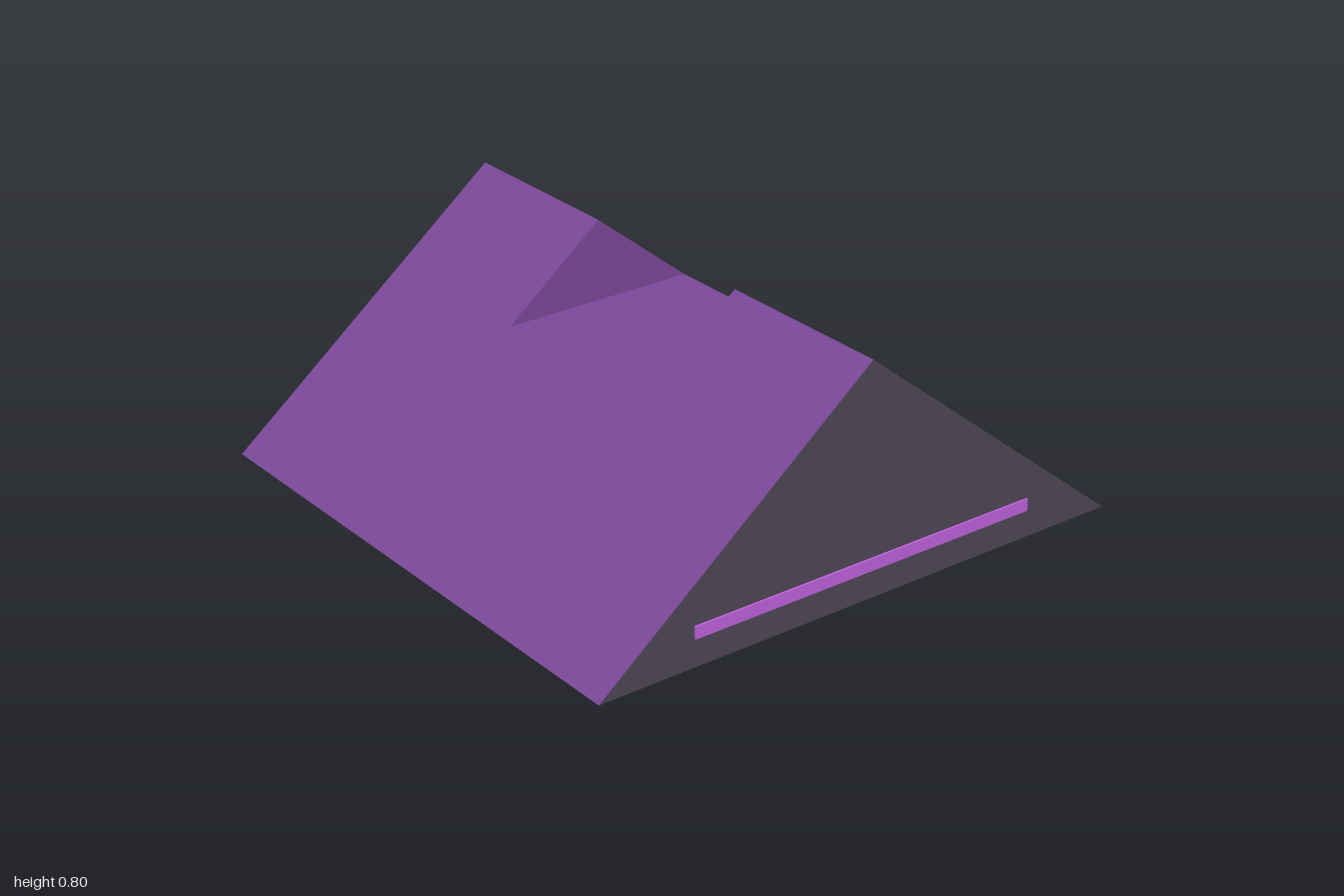
import * as THREE from 'three';

const HALF = 0.99;    // half width and half length of the wedge
const BASE = 0.008;   // underside height
const TOP = 0.8;      // ridge height
const NOTCH = 0.35;   // half size of the square notch
const NOTCH_Y = BASE + (TOP - BASE) * (1 - NOTCH / HALF);

const paint = (name, color) => {
  const m = new THREE.MeshStandardMaterial({ color });
  m.name = name;
  return m;
};

const polygon = (points) =>
  new THREE.ShapeGeometry(new THREE.Shape(points.map(([x, y]) => new THREE.Vector2(x, y))));

export function createModel() {
  const purple = paint('purple', 0x7a4798);
  const charcoal = paint('charcoal', 0x4b4654);
  const violet = paint('bright violet', 0xbc60d9);

  const model = new THREE.Group();
  model.name = 'notchedWedge';
  const add = (name, geometry, material, parent = model) => {
    const mesh = new THREE.Mesh(geometry, material);
    mesh.name = name;
    parent.add(mesh);
    return mesh;
  };

  // Sloping side outline (length, height), cut out at the ridge, then leaned inward
  const slope = polygon([
    [-HALF, BASE], [HALF, BASE], [HALF, TOP], [NOTCH, TOP],
    [NOTCH, NOTCH_Y], [-NOTCH, NOTCH_Y], [-NOTCH, TOP], [-HALF, TOP],
  ]);
  const p = slope.attributes.position;
  for (let i = 0; i < p.count; i++) {
    const u = p.getX(i), y = p.getY(i);
    p.setXYZ(i, HALF * (TOP - y) / (TOP - BASE), y, -u);
  }
  slope.computeVertexNormals();

  const gable = polygon([[-HALF, BASE], [HALF, BASE], [0, TOP]]).translate(0, 0, HALF);
  const wall = polygon([[-NOTCH, NOTCH_Y], [NOTCH, NOTCH_Y], [0, TOP]]).translate(0, 0, -NOTCH);
  const stripe = new THREE.BoxGeometry(1.3, 0.042, 0.008).translate(0, 0.125, HALF + 0.003);

  // Two identical halves, turned about the vertical axis
  for (const [i, side] of ['front', 'back'].entries()) {
    const half = new THREE.Group();
    half.name = side + 'Half';
    half.rotation.y = i * Math.PI;
    model.add(half);
    add('slope', slope, purple, half);
    add('gableEnd', gable, charcoal, half);
    add('notchWall', wall, purple, half);
    add('gableStripe', stripe, violet, half);
  }

  // Notch floor and underside
  add('notchFloor', new THREE.PlaneGeometry(2 * NOTCH, 2 * NOTCH).rotateX(-Math.PI / 2), purple)
    .position.y = NOTCH_Y;
  add('underside', new THREE.PlaneGeometry(2 * HALF, 2 * HALF).rotateX(Math.PI / 2), charcoal)
    .position.y = BASE;

  // Crossed strips under the base
  for (const [name, turn] of [['crossStripWide', 0], ['crossStripLong', Math.PI / 2]]) {
    const strip = add(name, new THREE.BoxGeometry(1.69, 0.008, 0.05), violet);
    strip.position.y = 0.004;
    strip.rotation.y = turn;
  }
  return model;
}
